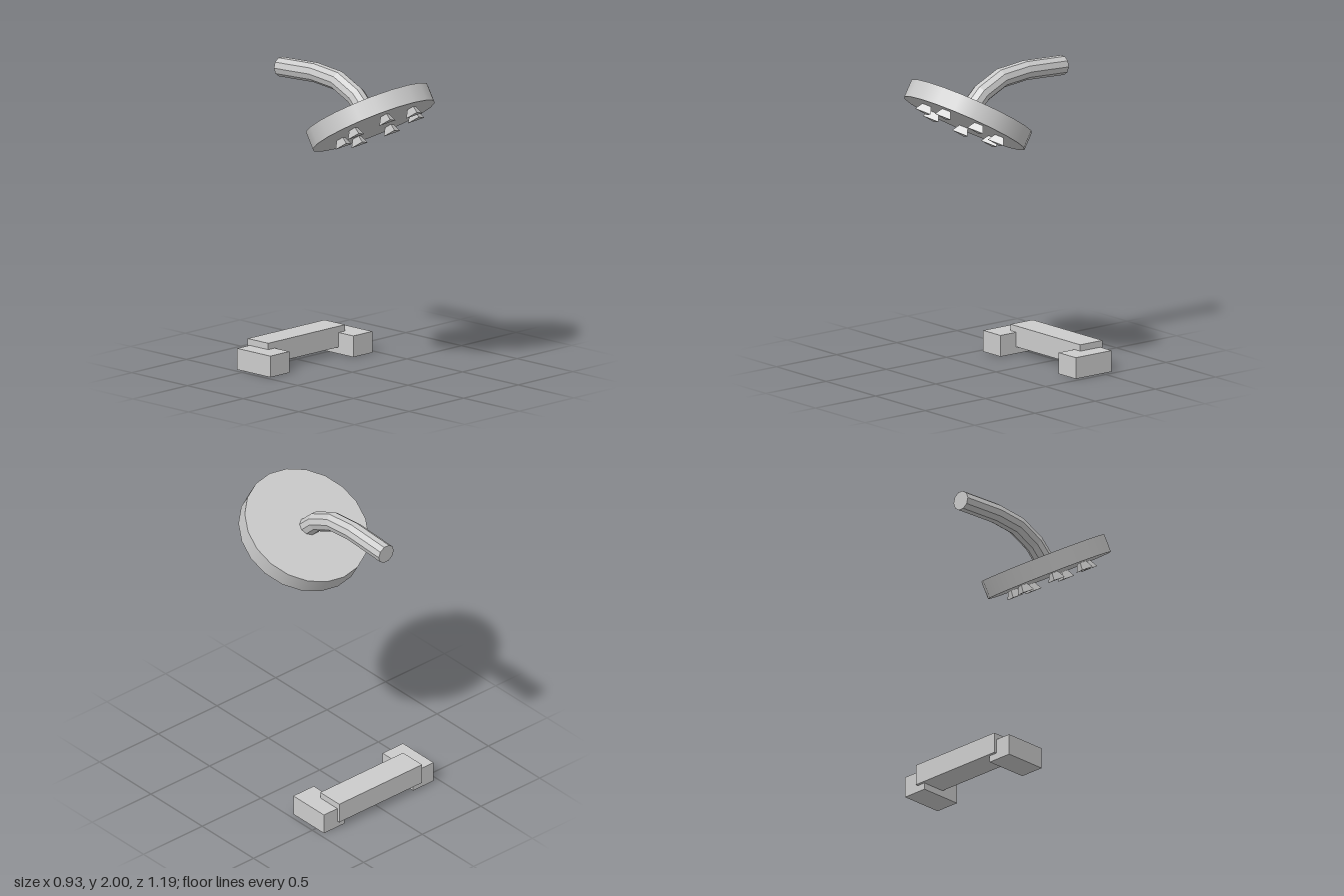
import * as THREE from 'three';

const material = new THREE.MeshStandardMaterial({ color: 0xcccccc });
const flatMaterial = new THREE.MeshStandardMaterial({ color: 0xcccccc, flatShading: true });

function addMesh(parent, name, geometry, mat, x = 0, y = 0, z = 0) {
  const mesh = new THREE.Mesh(geometry, mat);
  mesh.name = name;
  mesh.position.set(x, y, z);
  parent.add(mesh);
  return mesh;
}

// Bends an upright cylinder, ring by ring, along [z, y] points listed from its bottom to its top.
function bentPipe(radius, sides, path) {
  const last = path.length - 1;
  const geometry = new THREE.CylinderGeometry(radius, radius, last, sides, last, false, Math.PI / 2);
  const pos = geometry.attributes.position;
  for (let v = 0; v < pos.count; v++) {
    const i = Math.round(pos.getY(v) + last / 2);
    const a = path[Math.max(i - 1, 0)], b = path[Math.min(i + 1, last)];
    const length = Math.hypot(b[0] - a[0], b[1] - a[1]);
    const tz = (b[0] - a[0]) / length, ty = (b[1] - a[1]) / length;
    const side = pos.getZ(v);
    pos.setXYZ(v, pos.getX(v), path[i][1] - side * tz, path[i][0] + side * ty);
  }
  geometry.computeVertexNormals();
  return geometry;
}

export function createModel() {
  const model = new THREE.Group();
  model.name = 'shower';

  // Tilted shower head
  const head = new THREE.Group();
  head.name = 'showerHead';
  head.position.set(-0.039, 1.724, 0.2);
  head.rotation.x = -0.54;
  model.add(head);
  addMesh(head, 'headDisc', new THREE.CylinderGeometry(0.423, 0.423, 0.12, 20), material);

  // Ring of seven three-sided nozzles, flaring downwards
  const nozzle = new THREE.CylinderGeometry(0.035, 0.065, 0.05, 3);
  nozzle.rotateY(Math.PI / 2);
  for (let i = 0; i < 7; i++) {
    const angle = 0.33 + (i * Math.PI * 2) / 7;
    addMesh(head, 'nozzle' + (i + 1), nozzle, flatMaterial,
      0.025 + 0.26 * Math.cos(angle), -0.084, 0.03 + 0.26 * Math.sin(angle));
  }

  // Curved supply pipe, from inside the head to the wall
  const path = [[0.2, 1.73], [0.08, 1.845], [-0.08, 1.92], [-0.28, 1.94], [-0.593, 1.925]];
  addMesh(model, 'supplyPipe', bentPipe(0.064, 10, path), flatMaterial, -0.049);

  // Tap bar with a handle block at each end
  addMesh(model, 'tapBar', new THREE.BoxGeometry(0.705, 0.138, 0.185), flatMaterial, 0, 0.113, -0.502);
  for (const [name, s] of [['leftHandle', 1], ['rightHandle', -1]]) {
    addMesh(model, name, new THREE.BoxGeometry(0.174, 0.14, 0.298), flatMaterial, s * 0.38, 0.07, -0.427);
  }
  return model;
}
